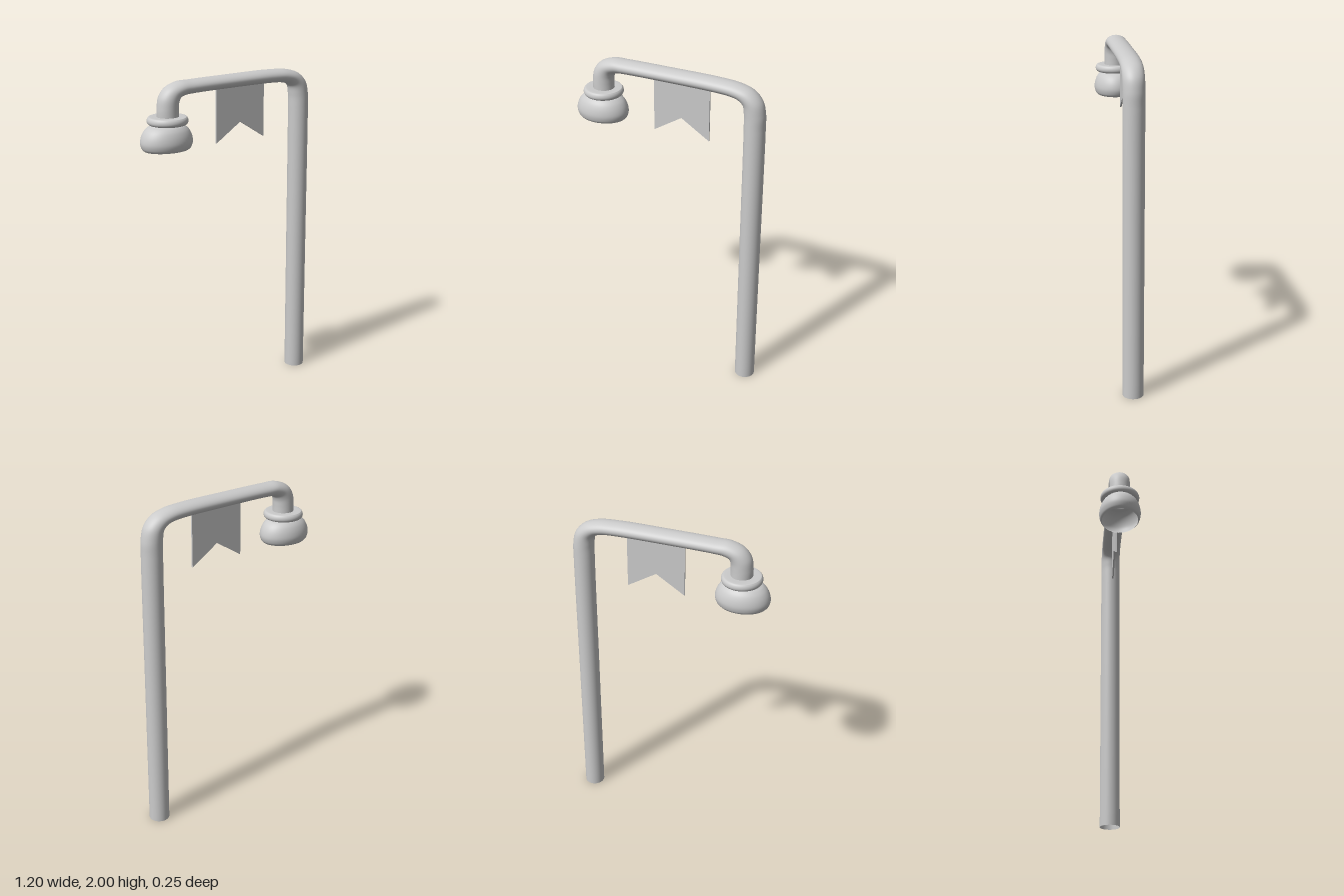
import * as THREE from 'three';

const grey = () => new THREE.MeshStandardMaterial({ color: 0xcccccc, side: THREE.DoubleSide });

function add(group, name, geometry) {
  const mesh = new THREE.Mesh(geometry, grey());
  mesh.name = name;
  group.add(mesh);
  return mesh;
}

// Bent tube whose in-plane edges follow an outer and an inner outline
function bentTube(stations, halfDepth, rings, sides) {
  const edge = (i) => new THREE.CatmullRomCurve3(
    stations.map((s) => new THREE.Vector3(s[i], s[i + 1], 0)), false, 'centripetal');
  const curves = [edge(0), edge(2)];
  const spans = stations.length - 1;
  const positions = [], indices = [];
  for (let r = 0; r <= rings; r++) {
    const t = Math.min(r / rings, 1);
    const outer = curves[0].getPoint(t), inner = curves[1].getPoint(t);
    const mid = outer.clone().add(inner).multiplyScalar(0.5);
    const half = outer.clone().sub(inner).multiplyScalar(0.5);
    for (let s = 0; s < sides; s++) {
      const a = (s / sides) * Math.PI * 2;
      positions.push(mid.x + half.x * Math.cos(a), mid.y + half.y * Math.cos(a), halfDepth * Math.sin(a));
      if (r < rings) {
        const n = (s + 1) % sides;
        const p = r * sides + s, q = r * sides + n;
        indices.push(p, p + sides, q, q, p + sides, q + sides);
      }
    }
  }
  const g = new THREE.BufferGeometry();
  g.setAttribute('position', new THREE.Float32BufferAttribute(positions, 3));
  g.setIndex(indices);
  g.computeVertexNormals();
  return g;
}

// Smooth lathe through a few [radius, y] points
function turned(points, samples) {
  const curve = new THREE.SplineCurve(points.map((p) => new THREE.Vector2(p[0], p[1])));
  return new THREE.LatheGeometry(curve.getPoints(samples), 48);
}

export function createModel() {
  const model = new THREE.Group();
  model.name = 'streetLamp';

  // Post, arm and drop: [outer x, outer y, inner x, inner y]
  add(model, 'postAndArm', bentTube([
    [0.598, 0, 0.475, 0],
    [0.592, 0.9, 0.469, 0.9],
    [0.586, 1.74, 0.463, 1.74],
    [0.583, 1.83, 0.46, 1.83],
    [0.563, 1.905, 0.449, 1.882],
    [0.51, 1.96, 0.42, 1.904],
    [0.43, 1.988, 0.375, 1.914],
    [0.3, 1.999, 0.29, 1.919],
    [0, 2, 0, 1.921],
    [-0.28, 1.998, -0.28, 1.918],
    [-0.37, 1.995, -0.325, 1.914],
    [-0.445, 1.965, -0.356, 1.903],
    [-0.485, 1.915, -0.367, 1.88],
    [-0.497, 1.85, -0.37, 1.845],
    [-0.497, 1.78, -0.37, 1.78],
  ], 0.0625, 140, 40));

  // Lamp head
  const lamp = new THREE.Group();
  lamp.name = 'lampHead';
  model.add(lamp);

  const collar = add(lamp, 'lampCollar', turned([
    [0.09, 1.757], [0.108, 1.761], [0.117, 1.772], [0.118, 1.786],
    [0.112, 1.799], [0.1, 1.804], [0.04, 1.803],
  ], 36));
  collar.position.x = -0.436;

  // Oval bowl, open underneath
  const bowl = add(lamp, 'lampShade', turned([
    [0.139, 1.616], [0.152, 1.63], [0.16, 1.66], [0.154, 1.694],
    [0.138, 1.725], [0.116, 1.746], [0.096, 1.756], [0.09, 1.768],
  ], 40));
  bowl.position.x = -0.445;
  bowl.scale.z = 0.785;

  // Swallow-tailed banner under the arm
  const outline = new THREE.Shape([
    [-0.1, 1.935], [-0.1, 1.6], [0.074, 1.71], [0.25, 1.6], [0.25, 1.935],
  ].map(([x, y]) => new THREE.Vector2(x, y)));
  const banner = add(model, 'banner', new THREE.ExtrudeGeometry(outline, { depth: 0.01, bevelEnabled: false }));
  banner.position.z = -0.005;

  return model;
}
